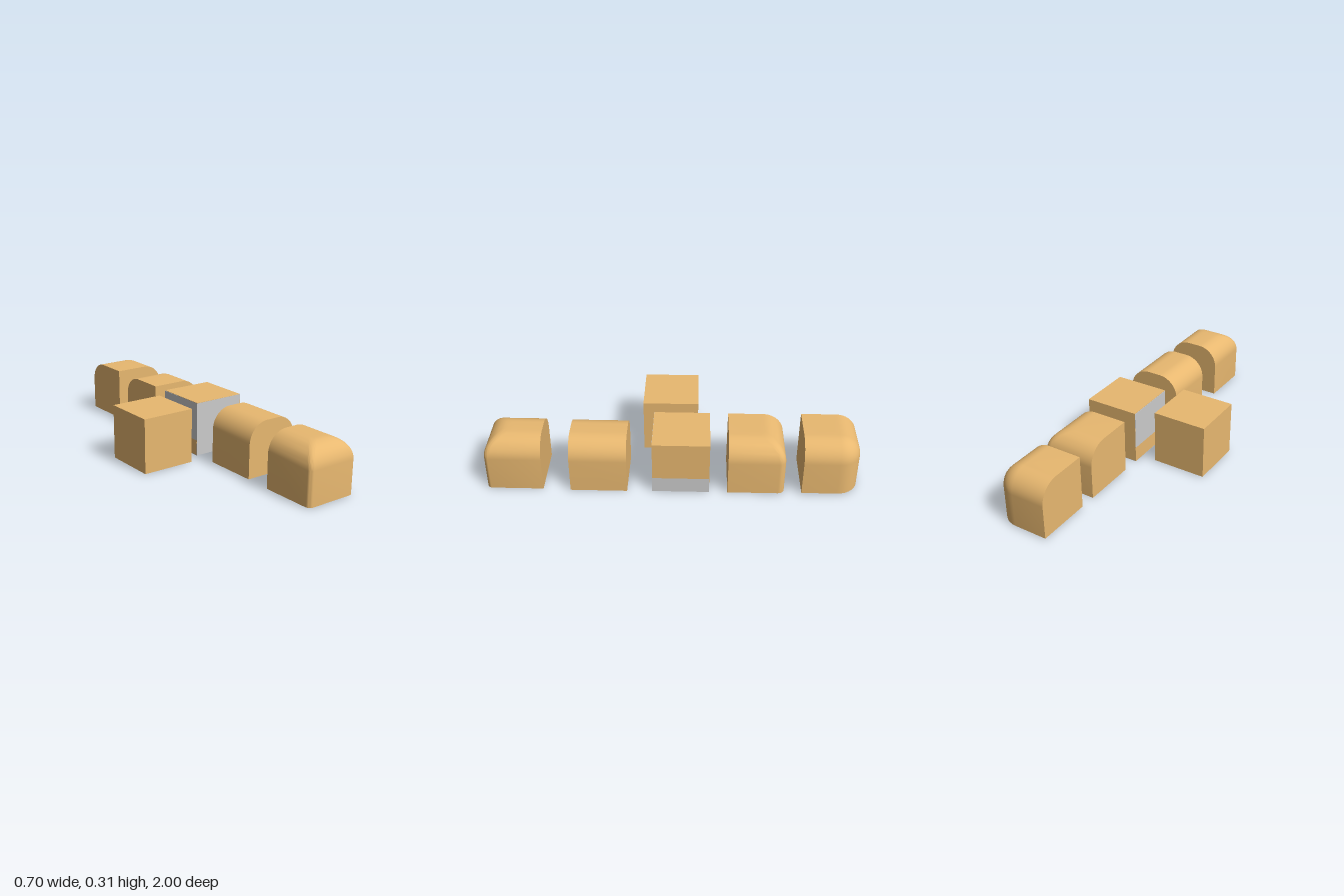
import * as THREE from 'three';
import { toCreasedNormals } from 'three/addons/utils/BufferGeometryUtils.js';

const SIZE = 0.305;
const HALF = SIZE / 2;
const ROUND = 0.115; // radius of the rounded top edges

// One horizontal outline; rounded sides are pulled in by inset, corners between two rounded sides get radius r
function outline(sides, inset, r) {
  const x0 = -HALF + (sides.left ? inset : 0), x1 = HALF - (sides.right ? inset : 0);
  const z0 = -HALF + (sides.back ? inset : 0), z1 = HALF - (sides.front ? inset : 0);
  const corners = [
    [x1, z1, 1, 1, sides.right && sides.front],
    [x0, z1, -1, 1, sides.left && sides.front],
    [x0, z0, -1, -1, sides.left && sides.back],
    [x1, z0, 1, -1, sides.right && sides.back],
  ];
  const points = [];
  corners.forEach(([x, z, sx, sz, rounded], c) => {
    if (!rounded) { points.push([x, z]); return; }
    for (let i = 0; i <= 8; i++) {
      const a = (c + i / 8) * Math.PI / 2;
      points.push([x - sx * r + Math.cos(a) * r, z - sz * r + Math.sin(a) * r]);
    }
  });
  return points;
}

// Block standing on y = 0, lofted from stacked outlines; ball = true gives a fully spherical corner
function roundedBlock(sides, cornerRadius, ball = false) {
  const steps = 12, rings = [], pos = [];
  const addRing = (y, inset) => {
    const r = ball ? Math.max(ROUND - inset, 0.002) : cornerRadius;
    rings.push(outline(sides, inset, r).map(([x, z]) => [x, y, z]));
  };
  addRing(0, 0);
  for (let i = 0; i <= steps; i++) {
    const t = (i / steps) * Math.PI / 2;
    addRing(SIZE - ROUND + ROUND * Math.sin(t), ROUND * (1 - Math.cos(t)));
  }
  const tri = (a, b, c) => pos.push(...a, ...b, ...c);
  const n = rings[0].length, top = rings[rings.length - 1];
  for (let k = 0; k < n; k++) {
    const m = (k + 1) % n;
    for (let i = 0; i < rings.length - 1; i++) {
      const [lo, hi] = [rings[i], rings[i + 1]];
      tri(lo[k], hi[k], hi[m]);
      tri(lo[k], hi[m], lo[m]);
    }
    tri([0, SIZE, 0], top[m], top[k]);
    tri([0, 0, 0], rings[0][k], rings[0][m]);
  }
  const g = new THREE.BufferGeometry();
  g.setAttribute('position', new THREE.Float32BufferAttribute(pos, 3));
  return toCreasedNormals(g, 0.5);
}

export function createModel() {
  const model = new THREE.Group();
  const tan = new THREE.MeshStandardMaterial({ color: 0xe8b870 });
  const grey = new THREE.MeshStandardMaterial({ color: 0xcccccc });

  const add = (name, geometry, material, x, y, z) => {
    const mesh = new THREE.Mesh(geometry, material);
    mesh.name = name;
    mesh.position.set(x, y, z);
    model.add(mesh);
    return mesh;
  };
  const cube = () => new THREE.BoxGeometry(SIZE, SIZE, SIZE).translate(0, HALF, 0);

  // Plain cube on its own
  add('plainCube', cube(), tan, -0.198, 0.003, 0.018);

  // Two nearly coincident cubes, the tan one tipped a hair so it shows on the left and back
  add('greyCube', cube(), grey, 0.191, 0.001, -0.046);
  const inner = add('tanCube', cube(), tan, 0.1903, 0.0025, -0.0468);
  inner.rotation.z = -0.008;

  // Row of blocks with rounded top edges
  add('endBlock', roundedBlock({ left: true, right: true, front: true }, 0.028), tan, 0.191, 0.003, 0.847);
  add('tunnelBlock', roundedBlock({ left: true, right: true }, 0), tan, 0.197, 0.003, 0.394);
  add('cornerBlock', roundedBlock({ right: true, back: true }, 0.035), tan, 0.193, 0.003, -0.45);
  add('ballCornerBlock', roundedBlock({ right: true, back: true }, 0, true), tan, 0.191, 0.007, -0.847);

  return model;
}
